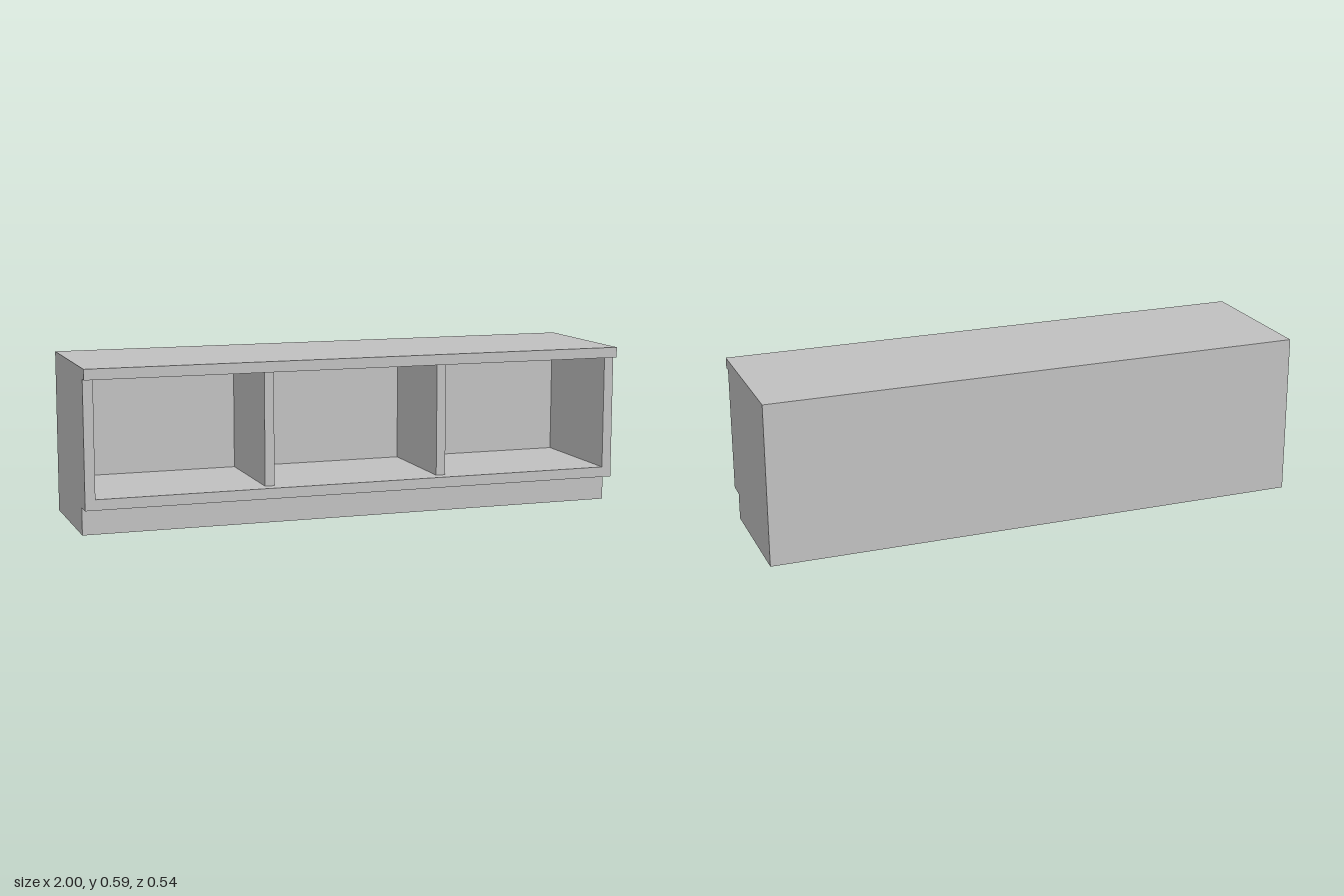
import * as THREE from 'three';

export function createModel() {
  const model = new THREE.Group();
  const paint = new THREE.MeshStandardMaterial({ color: 0xc0c0c0 });
  paint.name = 'lightGrey';

  // Adds a board given its extents along each axis
  function board(name, [x0, x1], [y0, y1], [z0, z1]) {
    const mesh = new THREE.Mesh(new THREE.BoxGeometry(x1 - x0, y1 - y0, z1 - z0), paint);
    mesh.position.set((x0 + x1) / 2, (y0 + y1) / 2, (z0 + z1) / 2);
    mesh.name = name;
    model.add(mesh);
  }

  const back = -0.272, front = 0.245, inner = -0.207;
  const baseTop = 0.098, floorTop = 0.136, topBottom = 0.553, height = 0.591;
  const side = 0.964;

  // Recessed plinth, floor and overhanging top
  board('plinth', [-1, 1], [0, baseTop], [back, 0.182]);
  board('floor', [-1, 1], [baseTop, floorTop], [back, front]);
  board('top', [-1, 1], [topBottom, height], [back, 0.272]);

  // Back panel between the sides
  board('backPanel', [-side, side], [floorTop, topBottom], [back, inner]);

  // Outer sides, and dividers set back from the front edge
  for (const [s, label] of [[-1, 'right'], [1, 'left']]) {
    const span = (a, b) => [a * s, b * s].sort((p, q) => p - q);
    board(label + 'Side', span(side, 1), [floorTop, topBottom], [back, front]);
    board(label + 'Divider', span(0.31, 0.345), [floorTop, topBottom], [inner, 0.2]);
  }
  return model;
}
